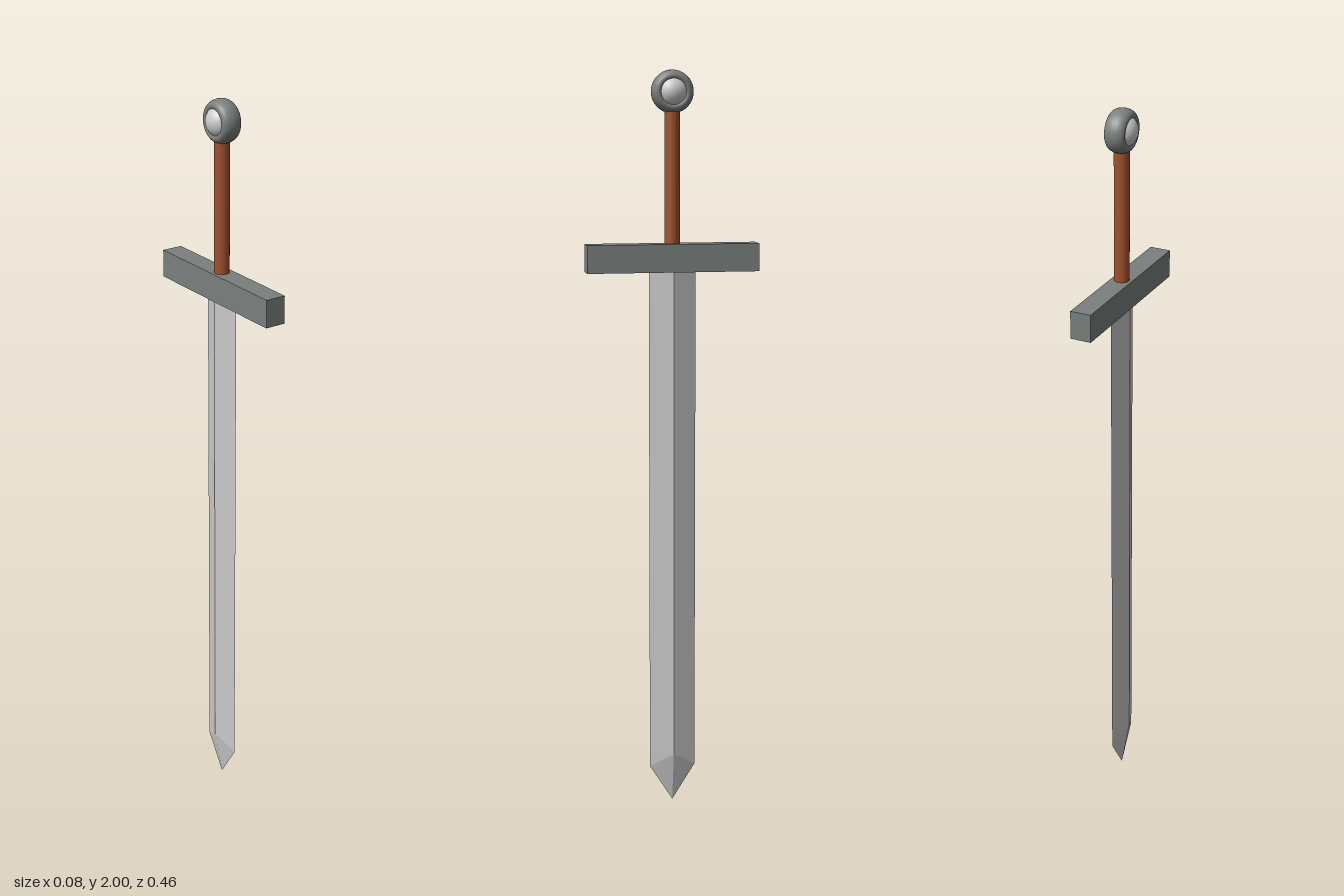
import * as THREE from 'three';

const material = (color, flatShading = false) => new THREE.MeshStandardMaterial({ color, flatShading });

// Diamond-section blade: ridges on ±x, edges on ±z, meeting in a point at y = 0
function bladeGeometry(top, halfThick, halfWide, ridgeY, edgeY) {
  const corners = [[halfThick, 0, ridgeY], [0, -halfWide, edgeY], [-halfThick, 0, ridgeY], [0, halfWide, edgeY]];
  const positions = [];
  corners.forEach(([x0, z0, y0], i) => {
    const [x1, z1, y1] = corners[(i + 1) % 4];
    const a = [x0, y0, z0], b = [x1, y1, z1], c = [x1, top, z1], d = [x0, top, z0];
    positions.push(...a, ...b, ...c, ...a, ...c, ...d); // long face
    positions.push(0, 0, 0, ...b, ...a); // tip facet
    positions.push(0, top, 0, ...d, ...c); // top cap
  });
  const geometry = new THREE.BufferGeometry();
  geometry.setAttribute('position', new THREE.Float32BufferAttribute(positions, 3));
  geometry.computeVertexNormals();
  return geometry;
}

export function createModel() {
  const group = new THREE.Group();
  const steel = material(0xcccccc);
  const darkSteel = material(0x7a807e);

  const add = (name, geometry, mat, y = 0) => {
    const mesh = new THREE.Mesh(geometry, mat);
    mesh.name = name;
    mesh.position.y = y;
    group.add(mesh);
    return mesh;
  };

  add('blade', bladeGeometry(1.48, 0.024, 0.063, 0.14, 0.1), material(0xcccccc, true));
  add('crossguard', new THREE.BoxGeometry(0.056, 0.074, 0.46), darkSteel, 1.513);
  add('grip', new THREE.CylinderGeometry(0.02, 0.02, 0.37, 24), material(0xa0522d), 1.725);

  // Pommel: a wide oval-section ring around a ball
  const ring = new THREE.TorusGeometry(0.04, 0.016, 20, 40);
  ring.scale(1, 1, 1.72);
  ring.rotateY(Math.PI / 2);
  add('pommelRing', ring, darkSteel, 1.944);
  add('pommelBall', new THREE.SphereGeometry(0.042, 32, 20), steel, 1.944);

  return group;
}
